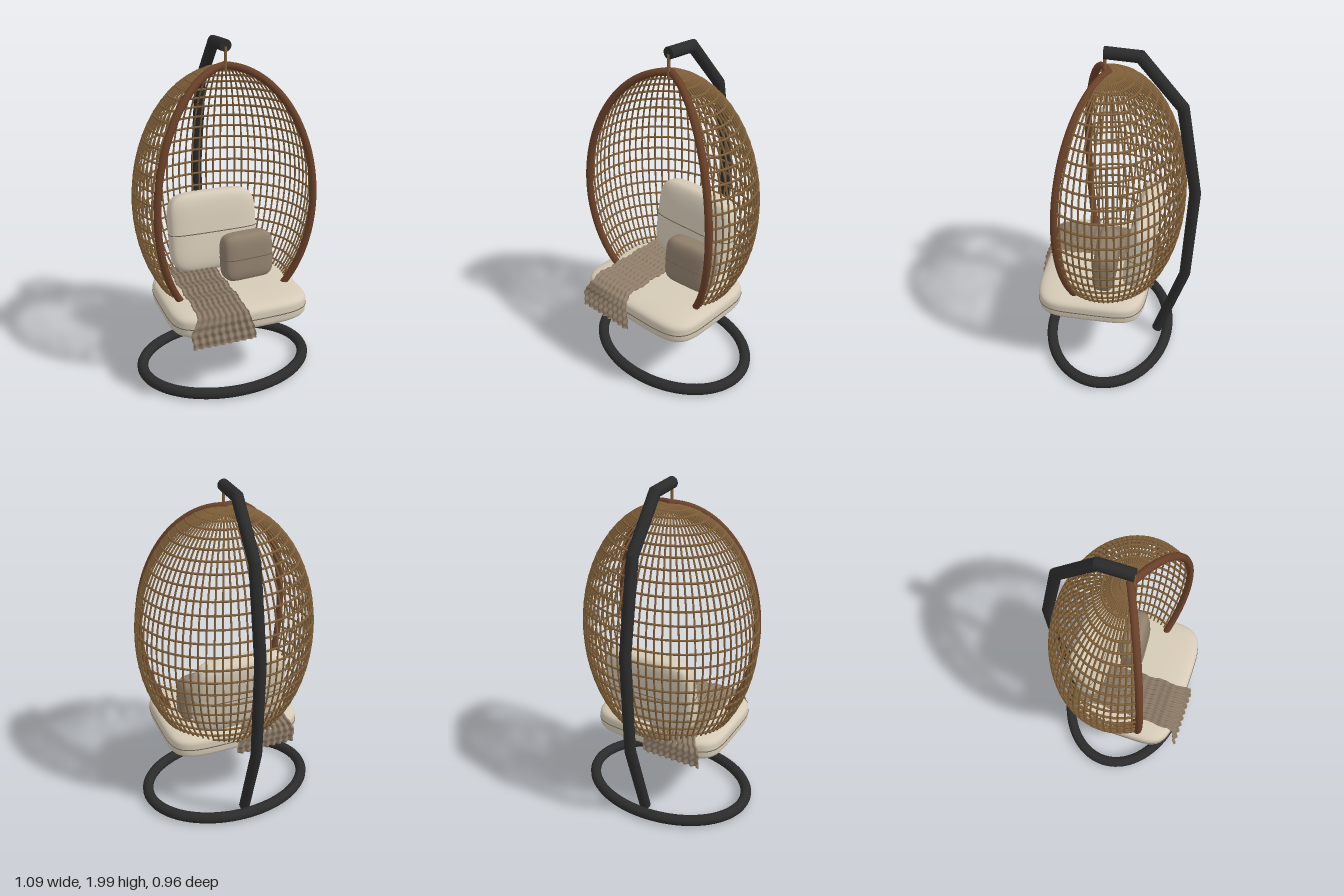
import * as THREE from 'three';
import { mergeGeometries, mergeVertices, toCreasedNormals } from 'three/addons/utils/BufferGeometryUtils.js';

const mat = (name, color, side = THREE.FrontSide) => {
  const m = new THREE.MeshStandardMaterial({ color, side });
  m.name = name;
  return m;
};

// Point on the egg: t runs from the top pole (0) to the bottom pole (PI), a around it
const EGG = { x: 0.523, y: 0.752, z: 0.435, cy: 1.105, cz: 0.05 };
const eggPoint = (t, a) => new THREE.Vector3(
  EGG.x * Math.sin(t) * Math.cos(a),
  EGG.cy + EGG.y * Math.cos(t),
  EGG.cz + EGG.z * Math.sin(t) * Math.sin(a));

// Tube along a point function of u in 0..1
function tube(pointAt, segments, radius, sides, closed = false) {
  const curve = new THREE.Curve();
  curve.getPoint = (u) => pointAt(u);
  return new THREE.TubeGeometry(curve, segments, radius, sides, closed);
}

// Grid surface from a point function of u, v in 0..1
function surface(pointAt, nu, nv) {
  const pos = [], index = [];
  for (let i = 0; i <= nu; i++) {
    for (let j = 0; j <= nv; j++) {
      pos.push(...pointAt(i / nu, j / nv));
      if (i < nu && j < nv) {
        const a = i * (nv + 1) + j, b = a + nv + 1;
        index.push(a, a + 1, b, b, a + 1, b + 1);
      }
    }
  }
  const g = new THREE.BufferGeometry();
  g.setAttribute('position', new THREE.Float32BufferAttribute(pos, 3));
  g.setIndex(index);
  g.computeVertexNormals();
  return g;
}

const spow = (v, e) => Math.sign(v) * Math.pow(Math.abs(v) < 1e-6 ? 0 : Math.abs(v), e);

// Stuffed cushion: a sphere squared off in plan (ePlan) and in height (eSide), with a seam
function cushion(name, size, ePlan, eSide, material, seamMaterial) {
  const [sx, sy, sz] = size.map((s) => s / 2);
  const g = new THREE.SphereGeometry(1, 64, 40);
  g.deleteAttribute('uv');
  g.deleteAttribute('normal');
  const p = g.attributes.position;
  for (let i = 0; i < p.count; i++) {
    const y = p.getY(i), r = Math.hypot(p.getX(i), p.getZ(i));
    const c = r > 1e-6 ? p.getX(i) / r : 0, s = r > 1e-6 ? p.getZ(i) / r : 0;
    const w = spow(r, eSide);
    p.setXYZ(i, sx * w * spow(c, ePlan), sy * spow(y, eSide), sz * w * spow(s, ePlan));
  }
  const body = mergeVertices(g, 1e-5);
  body.computeVertexNormals();
  const group = new THREE.Group();
  group.name = name;
  const shell = new THREE.Mesh(body, material);
  shell.name = name + 'Body';
  const seam = new THREE.Mesh(tube((u) => {
    const a = u * Math.PI * 2;
    return new THREE.Vector3(sx * spow(Math.cos(a), ePlan), 0, sz * spow(Math.sin(a), ePlan));
  }, 120, 0.003, 5, true), seamMaterial);
  seam.name = name + 'Seam';
  group.add(shell, seam);
  return group;
}

export function createModel() {
  const metal = mat('charcoal metal', 0x2b2b2c);
  const wicker = mat('wicker', 0x80603a);
  const rattan = mat('dark rattan', 0x6a4129);
  const linen = mat('cream linen', 0xd5cab7);
  const taupe = mat('taupe fabric', 0x8f7f6c);
  const knit = mat('knitted throw', 0x8e7c68, THREE.DoubleSide);
  const thread = mat('seam thread', 0x6e6454);

  const model = new THREE.Group();
  model.name = 'hangingChair';
  const add = (name, geometry, material) => {
    const m = new THREE.Mesh(geometry, material);
    m.name = name;
    model.add(m);
    return m;
  };

  // Oval floor ring
  add('baseRing', tube((u) => new THREE.Vector3(
    0.512 * Math.cos(u * Math.PI * 2), 0.037, 0.048 + 0.374 * Math.sin(u * Math.PI * 2)),
  96, 0.033, 14, true), metal);

  // Bent post with mitred joints, as [z, y]
  const path = [[-0.26, 0.04], [-0.415, 0.54], [-0.44, 1.15], [-0.345, 1.685], [-0.115, 1.957], [0.07, 1.965]]
    .map(([z, y]) => new THREE.Vector2(z, y));
  const dir = (i) => path[i + 1].clone().sub(path[i]).normalize();
  const rings = path.map((p, i) => {
    const d0 = dir(Math.max(i - 1, 0)), d1 = dir(Math.min(i, path.length - 2));
    const d = d0.clone().add(d1).normalize();
    return { p, n: new THREE.Vector2(-d.y, d.x), k: 1 / d.dot(d0) };
  });
  const post = surface((u, v) => {
    const { p, n, k } = rings[Math.round(u * (path.length - 1))];
    const a = v * Math.PI * 2, s = 0.033 * k * Math.sin(a);
    return [0.033 * Math.cos(a), p.y + n.y * s, p.x + n.x * s];
  }, path.length - 1, 16);
  const postMaterial = metal.clone();
  add('post', toCreasedNormals(post, 0.45), metal).material.side = THREE.DoubleSide;
  postMaterial.dispose();
  const cap = add('postCap', new THREE.CylinderGeometry(0.033, 0.033, 0.004, 16), metal);
  cap.rotation.x = Math.PI / 2;
  cap.position.set(0, 1.965, 0.07);

  // Hanging rod
  add('hangingRod', new THREE.CylinderGeometry(0.009, 0.009, 0.13, 8), wicker).position.set(0, 1.895, 0.068);

  // Wicker shell, open at the front
  const start = THREE.MathUtils.degToRad(150.5), sweep = THREE.MathUtils.degToRad(239);
  const uprights = [], hoops = [];
  for (let i = 1; i < 48; i++) {
    const a = start + sweep * i / 48;
    uprights.push(tube((u) => eggPoint(0.03 + u * (Math.PI - 0.06), a), 40, 0.0055, 5));
  }
  for (let i = 1; i < 30; i++) {
    const t = Math.PI * i / 30;
    hoops.push(tube((u) => eggPoint(t, start + sweep * u), 56, 0.0068, 6));
  }
  add('wickerUprights', mergeGeometries(uprights), wicker);
  add('wickerHoops', mergeGeometries(hoops), wicker);

  // Thick rim around the opening
  for (const [name, a] of [['rightRim', start], ['leftRim', start + sweep]]) {
    add(name, tube((u) => eggPoint(u * Math.PI, a), 64, 0.021, 10), rattan);
  }
  for (const [name, t] of [['topRimJoint', 0], ['bottomRimJoint', Math.PI]]) {
    add(name, new THREE.SphereGeometry(0.022, 12, 8), rattan).position.copy(eggPoint(t, 0));
  }

  // Cushions
  const seat = cushion('seatCushion', [0.825, 0.165, 0.65], 0.4, 0.42, linen, thread);
  seat.position.set(0, 0.503, 0.115);
  const back = cushion('backCushion', [0.55, 0.15, 0.49], 0.4, 0.5, linen, thread);
  // The upright cushions are squared in their front face, so the seam is turned to lie level
  const upright = (group, w, h, d) => {
    const seam = group.children[1];
    group.children[0].rotation.x = Math.PI / 2;
    seam.geometry = tube((u) => {
      const a = u * Math.PI * 2;
      return new THREE.Vector3(w / 2 * spow(Math.cos(a), 0.5), 0, d / 2 * spow(Math.sin(a), 0.5));
    }, 100, 0.003, 5, true);
    return group;
  };
  upright(back, 0.55, 0.49, 0.15);
  back.position.set(0.002, 0.82, -0.155);
  back.rotation.x = -0.17;
  const pillow = upright(cushion('throwPillow', [0.32, 0.14, 0.29], 0.4, 0.5, taupe, thread), 0.32, 0.29, 0.14);
  pillow.position.set(0.145, 0.712, 0.045);
  pillow.rotation.set(-0.1, 0.08, 0);
  model.add(seat, back, pillow);

  // Rippled throw draped over the seat, flaring where it hangs
  const drape = new THREE.CatmullRomCurve3([
    [0.41, -0.215], [0.5, -0.222], [0.575, -0.195], [0.6, -0.1], [0.602, 0.1],
    [0.602, 0.3], [0.598, 0.39], [0.56, 0.445], [0.49, 0.46], [0.41, 0.475],
  ].map(([y, z]) => new THREE.Vector3(0, y, z)));
  add('throwBlanket', surface((u, v) => {
    const p = drape.getPointAt(u), d = drape.getTangentAt(u);
    const flare = THREE.MathUtils.clamp((0.59 - p.y) / 0.1, 0, 1);
    const ripple = 0.008 * Math.sin(v * Math.PI * 18) + 0.004 * Math.sin(u * Math.PI * 44);
    const x = -0.155 + (v - 0.5) * (0.285 + 0.085 * flare) + 0.005 * Math.sin(u * 40);
    return [x, p.y + d.z * ripple, p.z - d.y * ripple];
  }, 100, 72), knit);

  return model;
}
